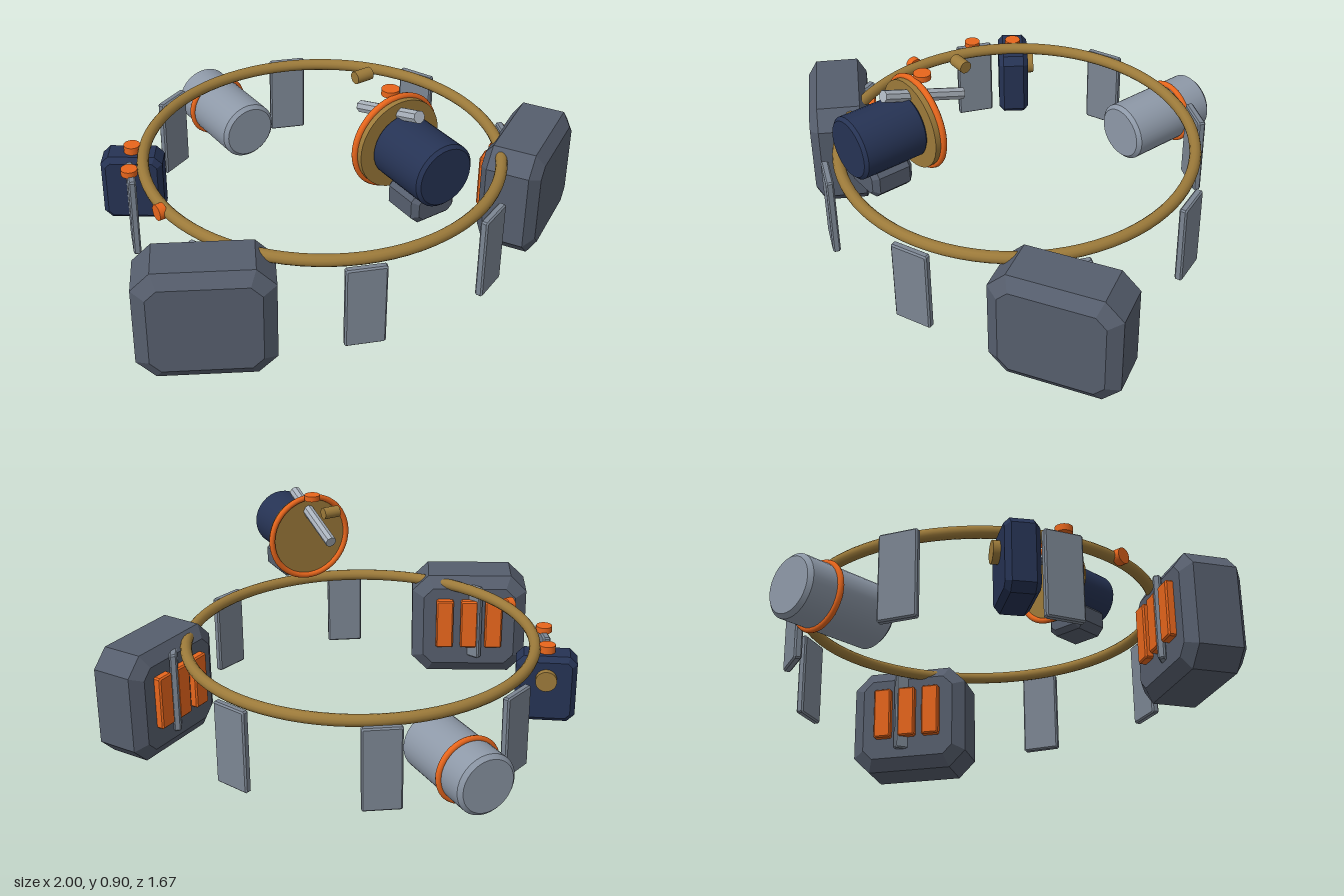
import * as THREE from 'three';
import { toCreasedNormals } from 'three/addons/utils/BufferGeometryUtils.js';

const mat = (color) => new THREE.MeshStandardMaterial({ color });
const CENTRE_Z = 0.1, RING_Y = 0.42;

function add(parent, name, geometry, material, x = 0, y = 0, z = 0) {
  const mesh = new THREE.Mesh(geometry, material);
  mesh.name = name;
  mesh.position.set(x, y, z);
  parent.add(mesh);
  return mesh;
}

// Box with cut corners (c) and a flat bevel (b wide, t deep) on front and back
function chamferBox(w, h, d, c, b, t) {
  const x = w / 2, y = h / 2;
  const shape = new THREE.Shape([
    [x - c, -y], [x, -y + c], [x, y - c], [x - c, y],
    [-x + c, y], [-x, y - c], [-x, -y + c], [-x + c, -y],
  ].map(([px, py]) => new THREE.Vector2(px, py)));
  const geo = new THREE.ExtrudeGeometry(shape, {
    depth: d - 2 * t, bevelEnabled: true, bevelSegments: 1,
    bevelSize: b, bevelOffset: -b, bevelThickness: t,
  });
  return geo.translate(0, 0, -(d / 2 - t));
}

// Cylinder along z with chamfered rims
function canister(r, length, c) {
  const h = length / 2;
  const profile = [[0, -h], [r - c, -h], [r, -h + c], [r, h - c], [r - c, h], [0, h]]
    .map(([px, py]) => new THREE.Vector2(px, py));
  return toCreasedNormals(new THREE.LatheGeometry(profile, 32), 0.6).rotateX(Math.PI / 2);
}

const disc = (r, h, sides = 24) => new THREE.CylinderGeometry(r, r, h, sides);

export function createModel() {
  const model = new THREE.Group();
  model.name = 'utilityBelt';
  const brass = mat(0x9c7a3a), orange = mat(0xe8661c), navy = mat(0x263354);
  const slate = mat(0x565e6d), panelGrey = mat(0x7c8693), steel = mat(0x8e99a8), light = mat(0xaab2bc);

  // Belt ring
  add(model, 'beltRing', new THREE.TorusGeometry(0.69, 0.023, 12, 80).rotateX(Math.PI / 2),
    brass, 0, RING_Y, CENTRE_Z);

  // Eight hanging panels spaced round the ring
  const panelGeo = chamferBox(0.15, 0.335, 0.03, 0.006, 0.006, 0.006);
  for (let i = 0; i < 8; i++) {
    const a = (i + 0.5) * Math.PI / 4;
    add(model, 'hangingPanel', panelGeo, panelGrey,
      0.74 * Math.sin(a), 0.253, CENTRE_Z + 0.74 * Math.cos(a)).rotation.y = a;
  }

  // Two large side pouches, each with three strips on the inner face
  const pouchGeo = chamferBox(0.5, 0.455, 0.24, 0.07, 0.05, 0.035);
  const stripGeo = chamferBox(0.075, 0.22, 0.05, 0.006, 0.006, 0.006);
  for (const side of [-1, 1]) {
    const pouch = new THREE.Group();
    pouch.name = side > 0 ? 'leftPouch' : 'rightPouch';
    pouch.position.set(side * 0.74, 0.2275, 0.462);
    pouch.rotation.y = side * Math.PI / 6;
    add(pouch, 'pouchBody', pouchGeo, slate);
    for (const i of [-1, 0, 1]) add(pouch, 'pouchStrip', stripGeo, orange, i * 0.107, 0.02, -0.125);
    model.add(pouch);
  }

  // Rear canister with its band
  add(model, 'rearCanister', canister(0.12, 0.4, 0.015), steel, 0, 0.23, -0.637);
  add(model, 'canisterBand', new THREE.TorusGeometry(0.123, 0.012, 10, 40), orange, 0, 0.23, -0.705);

  // Small box with a button on its side and a disc on top
  const box = new THREE.Group();
  box.name = 'smallBox';
  box.position.set(-0.6, 0.265, -0.33);
  box.rotation.y = -0.61;
  add(box, 'boxBody', chamferBox(0.24, 0.28, 0.125, 0.03, 0.02, 0.02), navy);
  add(box, 'boxButton', disc(0.042, 0.04).rotateX(Math.PI / 2), brass, 0, 0.05, -0.068);
  add(box, 'boxTopDisc', disc(0.032, 0.03), orange, 0, 0.157, 0);
  model.add(box);

  // Studs on the right of the ring
  add(model, 'panelStud', disc(0.032, 0.025), orange, -0.69, 0.428, -0.18);
  add(model, 'ringStud', disc(0.031, 0.03).rotateZ(Math.PI / 2), orange, -0.713, RING_Y, 0.105);

  // Raised front device: barrel, back plate, rim, foot, lever and pin
  const device = new THREE.Group();
  device.name = 'frontDevice';
  device.position.y = 0.71;
  add(device, 'barrel', canister(0.118, 0.26, 0.012), navy, 0, 0, 0.705);
  add(device, 'backPlate', disc(0.168, 0.03, 40).rotateX(Math.PI / 2), brass, 0, 0, 0.565);
  add(device, 'plateRim', new THREE.TorusGeometry(0.17, 0.012, 10, 48), orange, 0, 0, 0.548);
  add(device, 'foot', chamferBox(0.185, 0.125, 0.165, 0.03, 0.02, 0.02), slate, 0, -0.137, 0.71);
  add(device, 'rimDisc', disc(0.032, 0.022), orange, 0, 0.18, 0.515);
  const leverGeo = disc(0.023, 0.35, 8).toNonIndexed();
  leverGeo.computeVertexNormals();
  add(device, 'lever', leverGeo.rotateX(Math.PI / 2 - 0.35), light, 0, 0.098, 0.515);
  add(device, 'pin', disc(0.023, 0.066).rotateZ(Math.PI / 2), brass, 0, 0.165, 0.35);
  model.add(device);

  return model;
}
